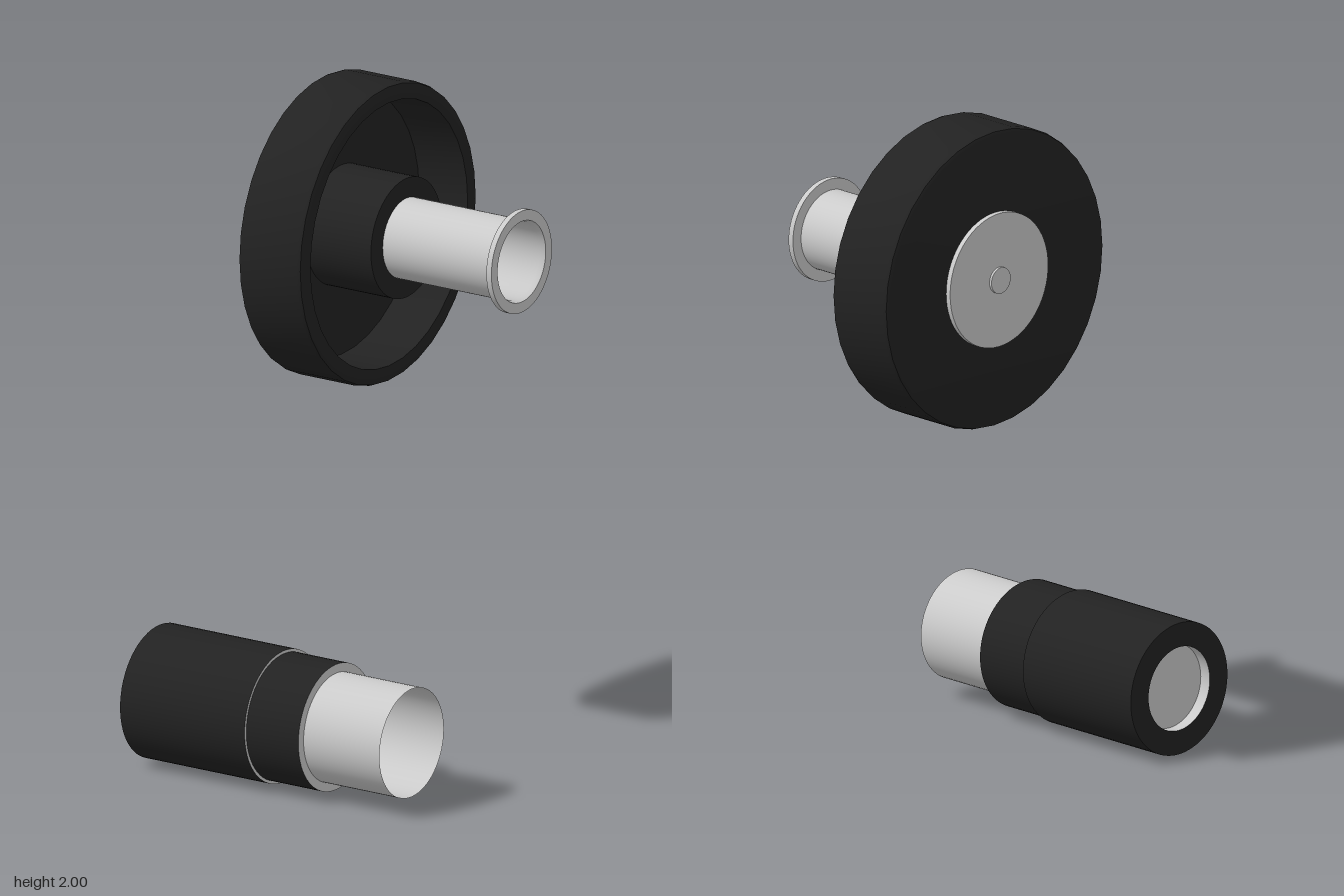
import * as THREE from 'three';
import { toCreasedNormals } from 'three/addons/utils/BufferGeometryUtils.js';

const grey = new THREE.MeshStandardMaterial({ color: 0xcccccc, side: THREE.DoubleSide });
const dark = new THREE.MeshStandardMaterial({ color: 0x222222, side: THREE.DoubleSide });

// Turned part: profile points are [x along the axis, radius]
function turned(parent, name, profile, material, segments = 64) {
  const points = profile.map(([x, r]) => new THREE.Vector2(r, x));
  const geometry = toCreasedNormals(new THREE.LatheGeometry(points, segments), 0.6);
  const mesh = new THREE.Mesh(geometry, material);
  mesh.rotation.z = -Math.PI / 2; // lathe axis onto +x
  mesh.name = name;
  parent.add(mesh);
}

function createWheel() {
  const wheel = new THREE.Group();
  wheel.name = 'wheelAssembly';
  wheel.position.set(0, 1.544, -0.146);

  // Dished rim, hollow on the +x side, with softened outer corners
  turned(wheel, 'wheelRim', [
    [-0.245, 0], [-0.245, 0.442], [-0.241, 0.452], [-0.23, 0.456],
    [-0.035, 0.456], [-0.024, 0.452], [-0.02, 0.442],
    [-0.02, 0.405], [-0.19, 0.4], [-0.19, 0.18],
  ], dark, 36);

  // Hub collar around the spindle
  turned(wheel, 'hub', [[-0.19, 0.183], [0.042, 0.183], [0.042, 0.122]], dark);

  // Hollow spindle with end flange and closed bottom
  turned(wheel, 'spindle', [
    [-0.2, 0.122], [0.436, 0.122], [0.436, 0.156], [0.454, 0.156],
    [0.454, 0.124], [0.436, 0.118], [-0.18, 0.118], [-0.18, 0],
  ], grey);

  // Cover plate and centre button on the outer face
  turned(wheel, 'coverPlate', [[-0.244, 0.205], [-0.261, 0.205], [-0.261, 0]].reverse(), grey);
  turned(wheel, 'centreButton', [[-0.269, 0], [-0.269, 0.04], [-0.26, 0.04]], grey);
  turned(wheel, 'spindleBoss', [[-0.18, 0.04], [-0.176, 0.04], [-0.176, 0]], grey);
  return wheel;
}

function createHandle() {
  const handle = new THREE.Group();
  handle.name = 'handleAssembly';
  handle.position.set(0, 0.204, 0.408);

  // Two-step dark grip with a round opening in its end
  turned(handle, 'grip', [[-0.457, 0.128], [-0.457, 0.202], [-0.012, 0.202]], dark);
  turned(handle, 'gripStep', [[-0.012, 0.193], [0.174, 0.193]], dark);

  // Light shoulders at each step
  turned(handle, 'gripShoulder', [[-0.012, 0.202], [-0.012, 0.193]], grey);
  turned(handle, 'stepShoulder', [[0.174, 0.193], [0.174, 0.166]], grey);

  // Thin open tube, with the grip's end wall at its bottom
  turned(handle, 'tube', [[-0.42, 0.166], [0.445, 0.166]], grey);
  turned(handle, 'tubeBottom', [[-0.42, 0.17], [-0.42, 0.128]], dark);

  // Recessed end disc
  turned(handle, 'endDisc', [[-0.457, 0.128], [-0.42, 0.128], [-0.42, 0]], grey);
  return handle;
}

export function createModel() {
  const model = new THREE.Group();
  model.name = 'wheelAndHandle';
  model.add(createWheel(), createHandle());
  return model;
}
